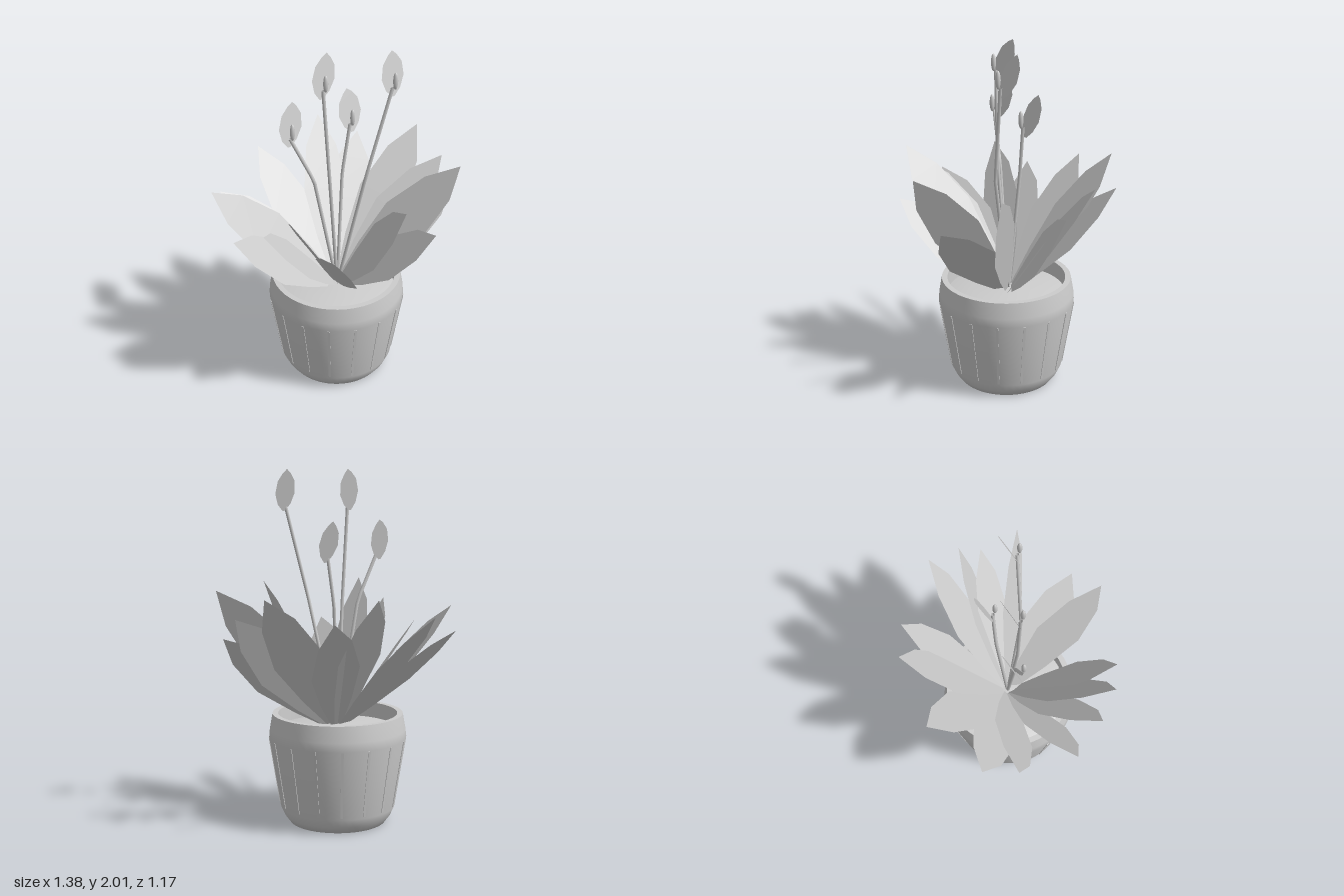
import * as THREE from 'three';

const V = (x, y, z) => new THREE.Vector3(x, y, z);

// Flat blade: rows of [position along axis, half-width factor] between base and tip
function bladeGeometry(base, tip, widthDir, halfWidth, rows) {
  const right = [], left = [];
  for (const [u, w] of rows) {
    const p = base.clone().lerp(tip, u);
    right.push(p.clone().addScaledVector(widthDir, w * halfWidth));
    left.push(p.clone().addScaledVector(widthDir, -w * halfWidth));
  }
  const pos = [];
  const tri = (a, b, c) => pos.push(...a.toArray(), ...b.toArray(), ...c.toArray());
  for (let i = 0; i < rows.length - 1; i++) {
    tri(left[i], right[i], right[i + 1]);
    tri(left[i], right[i + 1], left[i + 1]);
  }
  const g = new THREE.BufferGeometry();
  g.setAttribute('position', new THREE.Float32BufferAttribute(pos, 3));
  g.computeVertexNormals();
  return g;
}

export function createModel() {
  const model = new THREE.Group();
  const grey = new THREE.MeshStandardMaterial({ color: 0xcccccc, side: THREE.DoubleSide });
  grey.name = 'plain grey';
  const add = (parent, name, geometry) => {
    const mesh = new THREE.Mesh(geometry, grey);
    mesh.name = name;
    parent.add(mesh);
    return mesh;
  };
  const group = (name) => {
    const g = new THREE.Group();
    g.name = name;
    model.add(g);
    return g;
  };

  // Pot wall, rounded foot, rim and inner wall
  const lathe = (pts) => new THREE.LatheGeometry(pts.map(([r, y]) => new THREE.Vector2(r, y)), 48);
  const pot = group('pot');
  pot.position.set(-0.008, 0, 0.008);
  add(pot, 'potWall', lathe([[0, 0], [0.275, 0], [0.305, 0.04], [0.328, 0.09], [0.36, 0.29],
    [0.392, 0.49], [0.388, 0.54], [0.372, 0.63]]));
  add(pot, 'potRim', lathe([[0.372, 0.63], [0.34, 0.63]]));
  add(pot, 'potInnerWall', lathe([[0.34, 0.63], [0.335, 0.53]]));
  add(pot, 'soil', lathe([[0.336, 0.54], [0.2, 0.565], [0, 0.575]]));

  // Sixteen thin upright ribs along the sloping wall
  const ribLean = Math.atan2(0.064, 0.4);
  for (let i = 0; i < 16; i++) {
    const turn = new THREE.Group();
    turn.rotation.y = (i * Math.PI) / 8;
    pot.add(turn);
    const rib = add(turn, 'potRib', new THREE.BoxGeometry(0.014, 0.39, 0.008));
    rib.position.set(0, 0.295, 0.36);
    rib.rotation.x = ribLean;
  }

  // Leaves: tip x, tip y, tip z, roll about the leaf axis in degrees
  const leafRows = [[0, 0.12], [0.28, 0.65], [0.56, 1], [0.82, 0.68], [1, 0]];
  const leafTips = [
    [0.05, 1.34, -0.59, 15], [0.575, 1.34, -0.315, 38], [0.645, 1.34, 0.205, 70],
    [0.205, 1.34, 0.575, 58], [-0.395, 1.34, 0.5, -32],
    [0.28, 1.22, -0.54, 22], [0.665, 1.22, -0.13, 60], [-0.515, 1.22, 0.405, -32],
    [-0.69, 1.22, -0.1, -45], [-0.33, 1.22, -0.525, -5],
    [0.685, 1.1, 0, 46], [0.415, 1.1, 0.475, 38], [-0.18, 1.1, 0.585, -35],
    [-0.645, 1.1, 0.24, -40], [-0.61, 1.1, -0.285, -28],
  ];
  const leaves = group('leaves');
  for (const [x, y, z, roll] of leafTips) {
    const base = V(0, 0.53, 0), tip = V(x, y, z);
    const axis = tip.clone().sub(base).normalize();
    const side = V(-z, 0, x).normalize();
    const up = side.clone().cross(axis).normalize();
    const a = THREE.MathUtils.degToRad(roll);
    const widthDir = side.multiplyScalar(Math.cos(a)).addScaledVector(up, -Math.sin(a));
    add(leaves, 'leaf', bladeGeometry(base, tip, widthDir, 0.14, leafRows));
  }

  // Flowers: bent stem, petal behind and small spike in front
  const flowers = [
    { mid: [-0.135, 1.265, 0.01], top: [-0.265, 1.55, 0.01], lean: 0.035 },
    { mid: [-0.055, 1.27, 0.043], top: [-0.09, 1.83, 0.045], lean: 0.045 },
    { mid: [0.045, 1.25, -0.055], top: [0.09, 1.55, -0.06], lean: -0.01 },
    { mid: [0.125, 1.27, 0.105], top: [0.27, 1.83, 0.113], lean: 0.01 },
  ];
  const petalRows = [[0, 0.12], [0.16, 0.65], [0.42, 1], [0.72, 0.85], [0.9, 0.4], [1, 0]];
  for (const { mid, top, lean } of flowers) {
    const flower = group('flower');
    const path = new THREE.CurvePath();
    const points = [V(0, 0.53, 0), V(...mid), V(...top)];
    path.add(new THREE.LineCurve3(points[0], points[1]));
    path.add(new THREE.LineCurve3(points[1], points[2]));
    add(flower, 'stem', new THREE.TubeGeometry(path, 16, 0.01, 8));

    const [x, y, z] = top;
    const base = V(x + 0.012 - lean * 0.5, y - 0.055, z - 0.008);
    const tip = V(x + 0.012 + lean * 0.7, y + 0.175, z - 0.085);
    const across = V(1, -lean * 4, -0.35).normalize();
    add(flower, 'petal', bladeGeometry(base, tip, across, 0.073, petalRows));

    const spike = add(flower, 'spike', new THREE.SphereGeometry(1, 10, 8));
    spike.scale.set(0.014, 0.05, 0.014);
    spike.position.set(x + 0.01, y + 0.045, z + 0.015);
  }
  return model;
}
